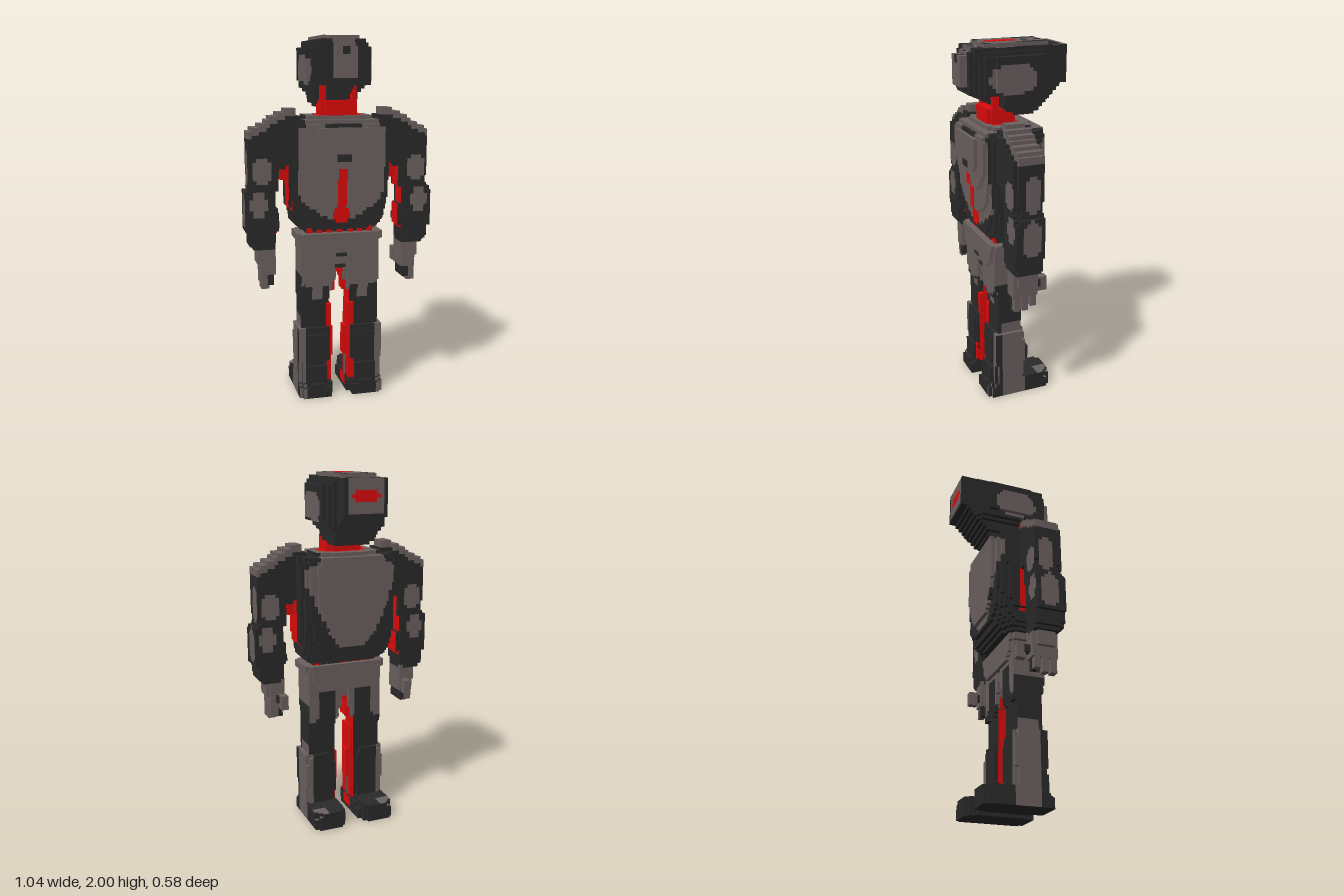
import * as THREE from 'three';

const CELL = 0.02;
const mat = (name, color) => Object.assign(new THREE.MeshStandardMaterial({ color }), { name });

// Linear interpolation in rows sorted by their first entry
function at(rows, t) {
  if (t <= rows[0][0]) return rows[0].slice(1);
  for (let i = 1; i < rows.length; i++) {
    const a = rows[i - 1], b = rows[i];
    if (t <= b[0]) return a.slice(1).map((v, j) => v + (b[j + 1] - v) * (t - a[0]) / (b[0] - a[0]));
  }
  return rows[rows.length - 1].slice(1);
}

// Solid from cross-sections [y, centreX, halfWidth, zBack, zFront], rounded by exponent n
function loft(rows, n) {
  return (x, y, z) => {
    if (y < rows[0][0] || y > rows[rows.length - 1][0]) return false;
    const [cx, hw, zb, zf] = at(rows, y);
    return Math.abs((x - cx) / hw) ** n + Math.abs((2 * z - zb - zf) / (zf - zb)) ** n < 1;
  };
}
const oval = (u, v, cu, cv, ru, rv) => ((u - cu) / ru) ** 2 + ((v - cv) / rv) ** 2 < 1;

export function createModel() {
  const model = new THREE.Group();
  model.name = 'robotFigure';
  const materials = [mat('charcoal', 0x2a2a2a), mat('warmGrey', 0x6b6160), mat('red', 0xde0b0b)];
  const DARK = 0, GREY = 1, RED = 2;

  // Turns a solid into small cubes, keeping outer faces only; paint picks a material per face
  function blocks(name, y0, y1, inside, paint, s = 1) {
    const lists = [[], [], []];
    const full = (i, j, k) => inside(s * (i + 0.5) * CELL, (j + 0.5) * CELL, k * CELL);
    for (let j = Math.floor(y0 / CELL + 0.01); j < y1 / CELL; j++)
      for (let i = -28; i < 28; i++)
        for (let k = -16; k <= 16; k++) {
          if (!full(i, j, k)) continue;
          for (let a = 0; a < 3; a++) for (const d of [-1, 1]) {
            const next = [i, j, k], n = [0, 0, 0];
            next[a] += d;
            if (full(...next)) continue;
            n[a] = d;
            const list = lists[paint(s * (i + 0.5) * CELL, (j + 0.5) * CELL, k * CELL, s * n[0], n[1], n[2])];
            const q = [[0, 0], [1, 0], [1, 1], [0, 1]].map(([p, r]) => {
              const c = [i, j, k - 0.5];
              if (d > 0) c[a] += 1;
              c[(a + 1) % 3] += p;
              c[(a + 2) % 3] += r;
              return c.map(v => v * CELL);
            });
            if (d < 0) q.reverse();
            for (const m of [0, 1, 2, 0, 2, 3]) list.push(...q[m]);
          }
        }
    const g = new THREE.BufferGeometry();
    g.setAttribute('position', new THREE.Float32BufferAttribute(lists.flat(), 3));
    let start = 0;
    lists.forEach((l, m) => { g.addGroup(start, l.length / 3, m); start += l.length / 3; });
    g.computeVertexNormals();
    const mesh = new THREE.Mesh(g, materials);
    mesh.name = name;
    model.add(mesh);
  }
  // Box given by its limits, mirrored by s
  function box(name, m, [x0, x1], [y0, y1], [z0, z1], s = 1) {
    const mesh = new THREE.Mesh(new THREE.BoxGeometry(x1 - x0, y1 - y0, z1 - z0), materials[m]);
    mesh.position.set(s * (x0 + x1) / 2, (y0 + y1) / 2, (z0 + z1) / 2);
    mesh.name = name;
    model.add(mesh);
  }

  // Head: long in z, narrow at both ends, notched for the neck cables
  const headShape = loft([[1.62, 0, 0.1, -0.11, -0.01], [1.66, 0, 0.12, -0.14, 0.07], [1.7, 0, 0.13, -0.18, 0.15],
    [1.74, 0, 0.16, -0.215, 0.225], [1.78, 0, 0.176, -0.265, 0.29], [1.8, 0, 0.176, -0.297, 0.297], [1.93, 0, 0.176, -0.297, 0.297],
    [1.95, 0, 0.14, -0.297, 0.25], [1.97, 0, 0.13, -0.295, 0.23], [1.985, 0, 0.11, -0.2, 0.18], [2, 0, 0.105, -0.2, 0.18]], 9);
  const headWidth = [[-0.3, 0.125], [-0.2, 0.13], [-0.12, 0.175], [0.13, 0.175], [0.2, 0.14], [0.235, 0.11], [0.25, 0.055], [0.3, 0.055]];
  const crownWidth = [[-0.2, 0.05], [-0.06, 0.06], [0.03, 0.12], [0.1, 0.12], [0.16, 0.05]];
  const head = (x, y, z) => headShape(x, y, z) && Math.abs(x) < at(headWidth, z)[0]
    && !(Math.abs(x) > 0.06 && y < 1.75 && z > 0.07);
  blocks('head', 1.62, 2, head, (x, y, z, nx, ny, nz) => {
    const w = Math.abs(x);
    if (nz < 0 && z < -0.25) {
      if (w < (y > 1.88 && y < 1.9 ? 0.08 : 0.06) && y > 1.86 && y < 1.92) return RED;
      return w < 0.11 && y > 1.79 ? GREY : DARK;
    }
    if (ny > 0 && y > 1.9) {
      if (w < 0.03 && (Math.abs(z + 0.09) < 0.025 || Math.abs(z + 0.18) < 0.025 || z > 0.18)) return DARK;
      return w < at(crownWidth, z)[0] && z > -0.21 || z < -0.27 || z < -0.2 && w > 0.1 || z > 0.18 && w < 0.06 ? GREY : DARK;
    }
    if (z > 0.2 && w < 0.06 && y > 1.77) return w < 0.03 && y > 1.9 && y < 1.94 ? DARK : GREY;
    if (y > 1.975) return GREY;
    return w > 0.1 && oval(z, y, 0.035, 1.825, 0.13, 0.085) ? GREY : DARK;
  });
  box('crownStripe', RED, [-0.025, 0.025], [1.994, 2.002], [-0.03, 0.12]);
  box('crownStripeCore', RED, [-0.016, 0.016], [1.994, 2.002], [-0.04, 0.135]);

  // Neck
  blocks('neck', 1.54, 1.66, loft([[1.54, 0, 0.105, -0.01, 0.15], [1.6, 0, 0.105, -0.01, 0.15], [1.66, 0, 0.095, 0, 0.15]], 4), () => RED);

  // Torso with chest and back plates
  const torsoRows = [[0.96, 0, 0.22, -0.04, 0.165], [1, 0, 0.25, -0.09, 0.185], [1.1, 0, 0.275, -0.12, 0.2],
    [1.2, 0, 0.28, -0.13, 0.215], [1.3, 0, 0.28, -0.135, 0.23], [1.36, 0, 0.285, -0.135, 0.245], [1.52, 0, 0.285, -0.135, 0.245],
    [1.56, 0, 0.27, -0.13, 0.21], [1.565, 0, 0.2, -0.09, 0.18], [1.58, 0, 0.17, -0.07, 0.17]];
  const chest = [[1.02, 0.07], [1.06, 0.13], [1.1, 0.19], [1.16, 0.23], [1.3, 0.25], [1.5, 0.25], [1.53, 0.21], [1.58, 0.18]];
  const back = [[1.06, 0.08], [1.2, 0.16], [1.42, 0.26], [1.5, 0.25], [1.56, 0.16]];
  blocks('torso', 0.96, 1.58, loft(torsoRows, 3.6), (x, y, z, nx, ny) => {
    const w = Math.abs(x);
    if (ny > 0 && y > 1.56) return oval(x, z, 0, 0.06, 0.14, 0.1) ? RED : GREY;
    if (nx && w > 0.2 && z > 0.01 && z < 0.13 && y > 1.06 && y < 1.32) return RED;
    if (z > 0.1) {
      if (oval(x, y, 0, 1.36, 0.05, 0.025) || w < 0.1 && y > 1.52 && y < 1.55) return DARK;
      return y > 1.02 && w < at(chest, y)[0] && !(nx && w > 0.22) ? GREY : DARK;
    }
    return z < -0.03 && y > 1.06 && w < at(back, y)[0] ? GREY : DARK;
  });
  // Chest stripe with a round lower end, laid on each step of the torso
  for (let y = 1.01; y < 1.31; y += CELL) {
    const z = CELL * (Math.ceil(at(torsoRows, y)[3] / CELL) - 0.5);
    const w = Math.max(y > 1.05 ? 0.025 : 0, Math.sqrt(Math.max(0, 0.048 ** 2 - (y - 1.045) ** 2)));
    box('chestStripe', RED, [-w, w], [y - 0.01, y + 0.01], [z - 0.005, z + 0.003]);
  }

  // Waist and pelvis
  box('waist', DARK, [-0.19, 0.19], [0.92, 0.98], [0, 0.14]);
  for (const x of [-0.17, -0.115, -0.06, 0, 0.06, 0.115, 0.17]) box('waistJoint', RED, [x - 0.015, x + 0.015], [0.93, 0.97], [0, 0.155]);
  blocks('pelvis', 0.8, 0.94, loft([[0.8, 0, 0.225, -0.02, 0.18], [0.9, 0, 0.225, -0.03, 0.19], [0.905, 0, 0.235, -0.03, 0.19],
    [0.94, 0, 0.235, -0.03, 0.19]], 8), () => GREY);
  box('crotch', GREY, [-0.06, 0.06], [0.74, 0.84], [0, 0.16]);
  box('crotchUnderside', RED, [-0.04, 0.04], [0.71, 0.76], [0.02, 0.14]);
  box('crotchMark', DARK, [-0.03, 0.03], [0.81, 0.83], [0.15, 0.192]);
  box('crotchMark', DARK, [-0.03, 0.03], [0.74, 0.76], [0.15, 0.165]);

  // Sloping top of the shoulder
  const slope = x => 1.62 - 0.6 * Math.max(0, x - 0.29);
  const armShape = loft([[0.86, 0.425, 0.06, 0.02, 0.14], [0.9, 0.43, 0.075, 0.01, 0.17], [0.96, 0.43, 0.08, 0, 0.18],
    [1, 0.435, 0.09, 0, 0.18], [1.16, 0.44, 0.085, 0, 0.17], [1.2, 0.415, 0.075, 0, 0.16], [1.3, 0.415, 0.08, 0, 0.17],
    [1.32, 0.38, 0.12, 0, 0.17], [1.52, 0.38, 0.12, 0, 0.17], [1.56, 0.34, 0.11, 0, 0.16], [1.6, 0.28, 0.09, 0.01, 0.15]], 6);

  for (const s of [1, -1]) {
    const side = s > 0 ? 'left' : 'right';
    box(side + 'NeckCable', RED, [0.072, 0.1], [1.56, 1.75], [0.09, 0.125], s);

    // Arm with grey patches and a red inner face
    blocks(side + 'Arm', 0.86, 1.6, (x, y, z) => armShape(x, y, z) && y < slope(x) - 0.04, (x, y, z, nx) => {
      if (nx < 0 && x < 0.39 && y > 0.94 && y < 1.32 && z > 0.03 && z < 0.13) return RED;
      if (nx > 0 && x > 0.44) return oval(z, y, 0.07, 1.3, 0.045, 0.11) || oval(z, y, 0.08, 1.07, 0.055, 0.1) ? GREY : DARK;
      return nx >= 0 && (oval(x, y, 0.43, 1.29, 0.05, 0.075) || oval(x, y, 0.45, 1.11, 0.045, 0.075)) ? GREY : DARK;
    }, s);
    box(side + 'Armpit', RED, [0.27, 0.325], [1.235, 1.325], [0.04, 0.12], s);
    blocks(side + 'ShoulderCap', 1.42, 1.62, (x, y, z) => x > 0.24 && x < 0.5 && y < slope(x) && y > slope(x) - 0.07
      && Math.abs(z - 0.08) < (x < 0.3 ? 0.05 : 0.07), () => GREY, s);

    // Hand with fingers and thumb
    box(side + 'Wrist', RED, [0.35, 0.385], [0.95, 0.98], [0.05, 0.14], s);
    blocks(side + 'Palm', 0.72, 0.9, loft([[0.72, 0.4, 0.045, 0.01, 0.14], [0.78, 0.4, 0.05, 0.01, 0.15], [0.9, 0.41, 0.05, 0.02, 0.14]], 6), () => GREY, s);
    for (const [i, z] of [0.02, 0.065, 0.11].entries()) {
      box(side + 'Finger', GREY, [0.395, 0.44], [0.64 + (i === 0 ? 0.02 : 0), 0.74], [z, z + 0.033], s);
      box(side + 'FingerJoint', DARK, [0.37, 0.405], [0.66, 0.73], [z, z + 0.036], s);
    }
    box(side + 'Thumb', GREY, [0.36, 0.4], [0.72, 0.8], [-0.06, -0.01], s);
    box(side + 'ThumbBase', DARK, [0.37, 0.41], [0.75, 0.79], [-0.02, 0.03], s);

    // Leg with grey hip, dark knee, grey outer shin and red inner face
    blocks(side + 'Leg', 0.08, 0.84, loft([[0.08, 0.145, 0.095, 0, 0.16], [0.3, 0.15, 0.1, -0.01, 0.17], [0.395, 0.15, 0.095, 0, 0.17],
      [0.405, 0.145, 0.08, 0, 0.15], [0.55, 0.145, 0.08, 0, 0.15], [0.62, 0.135, 0.09, -0.02, 0.16], [0.68, 0.125, 0.1, -0.02, 0.17],
      [0.84, 0.125, 0.1, -0.02, 0.18]], 6), (x, y, z, nx, ny, nz) => {
      if (nx < 0 && x < 0.15 && y < 0.72 && z > 0.01 && z < 0.13) return RED;
      if (nx > 0 && x > 0.15) return y > 0.7 || y < 0.47 && z < 0.14 ? GREY : DARK;
      if (nz < 0) return y > 0.78 || x > 0.19 && y < 0.4 || x < 0.07 || oval(x, y, 0.2, 0.7, 0.05, 0.1) ? GREY : DARK;
      if (y > 0.63 || y > 0.55 && x < 0.16 && x > 0.1) return GREY;
      return x > 0.2 && y < 0.4 || x < 0.07 ? GREY : DARK;
    }, s);
    box(side + 'InnerLegStrip', RED, [0.05, 0.08], [0.08, 0.53], [0.03, 0.155], s);
    box(side + 'InnerShinStrip', RED, [0.03, 0.06], [0.21, 0.38], [0.05, 0.11], s);
    box(side + 'InnerThighStrip', RED, [0.022, 0.05], [0.6, 0.69], [0.04, 0.12], s);
    box(side + 'ShinGuard', DARK, [0.08, 0.19], [0.2, 0.36], [0.14, 0.18], s);
    box(side + 'AnkleGuard', DARK, [0.08, 0.2], [0.1, 0.18], [0.14, 0.19], s);
    box(side + 'AnkleStrip', RED, [0.06, 0.08], [0.09, 0.2], [0.12, 0.175], s);

    // Foot
    blocks(side + 'Foot', 0, 0.1, loft([[0, 0.145, 0.1, -0.17, 0.215], [0.05, 0.145, 0.1, -0.17, 0.215], [0.1, 0.145, 0.09, -0.165, 0.18]], 4.5),
      (x, y, z, nx, ny, nz) => {
        if (nx < 0 && x < 0.1 && y > 0.02 && z > 0 && z < 0.12) return RED;
        if (nz > 0 && x > 0.2 || nx > 0 && z > -0.01 && z < 0.14) return GREY;
        return ny > 0 && x > 0.16 && z < -0.08 ? GREY : DARK;
      }, s);
  }
  return model;
}
